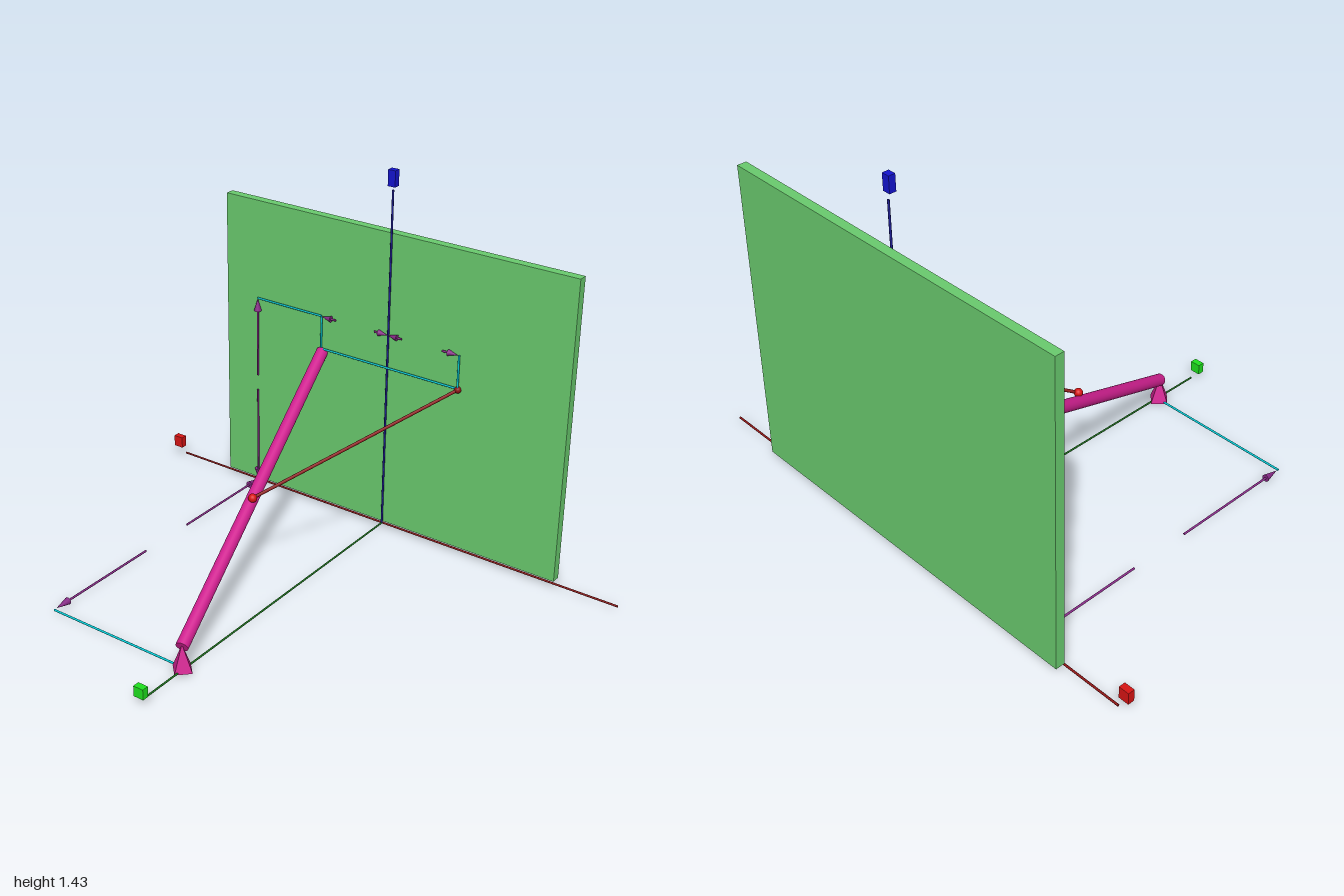
import * as THREE from 'three';

const UP = new THREE.Vector3(0, 1, 0);
const mat = (color) => new THREE.MeshStandardMaterial({ color });
const flat = (color) => { const m = mat(color); m.flatShading = true; return m; };

export function createModel() {
  const model = new THREE.Group();
  const green = mat(0x6acb6e), magenta = mat(0xd02090), cyan = mat(0x00c8d2);
  const purple = mat(0x862a86), darkRed = mat(0x8c1414), red = mat(0xd81414);
  const blue = mat(0x1414d0), lime = mat(0x1ee01e), darkGreen = mat(0x1c6e1c), navy = mat(0x1c1c90);

  const add = (name, geometry, material, x, y, z, parent = model) => {
    const mesh = new THREE.Mesh(geometry, material);
    mesh.name = name;
    mesh.position.set(x, y, z);
    parent.add(mesh);
    return mesh;
  };

  // Round bar (or cone, when r2 is 0) from point a to point b
  const bar = (name, a, b, r, material, parent = model, r2 = r, sides = 10) => {
    const p = new THREE.Vector3(...a), q = new THREE.Vector3(...b);
    const d = q.clone().sub(p), m = p.clone().add(q).multiplyScalar(0.5);
    const mesh = add(name, new THREE.CylinderGeometry(r2, r, d.length(), sides), material, m.x, m.y, m.z, parent);
    mesh.quaternion.setFromUnitVectors(UP, d.normalize());
    return mesh;
  };

  // Key points: foot, wall ends of the rod and cord, and the cord's tie point
  const A = [0.005, 0.09, 0.505], B = [-0.283, 0.645, -0.7];
  const C = [0.31, 0.655, -0.695], G = [-0.11, 0.37, -0.035];

  // Wall panel
  add('wall', new THREE.BoxGeometry(1.475, 1.17, 0.035), green, 0.0075, 0.595, -0.7175);

  // Leaning rod on its four-sided foot
  bar('rod', A, B, 0.023, magenta, model, 0.023, 24);
  add('foot', new THREE.ConeGeometry(0.043, 0.1, 4), flat(0xd02090), 0.005, 0.05, 0.505);

  // Cord from the rod to the wall
  bar('cord', G, C, 0.006, darkRed);
  add('cordTie', new THREE.SphereGeometry(0.016, 16, 12), red, ...G);
  add('cordAnchor', new THREE.SphereGeometry(0.013, 16, 12), darkRed, ...C);

  // Three axes with small end blocks
  const axes = new THREE.Group();
  axes.name = 'axes';
  model.add(axes);
  bar('sideAxis', [-0.96, 0.004, -0.698], [1, 0.004, -0.698], 0.004, darkRed, axes);
  bar('uprightAxis', [0.01, 0.004, -0.695], [0.01, 1.34, -0.695], 0.004, navy, axes);
  bar('forwardAxis', [0.01, 0.004, -0.695], [0.01, 0.004, 0.69], 0.0035, darkGreen, axes);
  add('sideAxisEnd', new THREE.BoxGeometry(0.04, 0.045, 0.025), red, -0.98, 0.06, -0.685, axes);
  add('uprightAxisEnd', new THREE.BoxGeometry(0.03, 0.06, 0.025), blue, 0.018, 1.39, -0.682, axes);
  add('forwardAxisEnd', new THREE.BoxGeometry(0.04, 0.04, 0.025), lime, 0.01, 0.04, 0.722, axes);

  // Guide lines on the wall and floor
  const guides = new THREE.Group();
  guides.name = 'guideLines';
  model.add(guides);
  const zw = -0.692;
  [
    [[-0.283, 0.66, zw], [0.31, 0.66, zw]],
    [[-0.283, 0.66, zw], [-0.283, 0.79, zw]],
    [[0.31, 0.66, zw], [0.31, 0.79, zw]],
    [[-0.58, 0.792, zw], [-0.283, 0.792, zw]],
    [[-0.58, 0.004, 0.5], [0.005, 0.004, 0.5]],
  ].forEach(([a, b]) => bar('guideLine', a, b, 0.004, cyan, guides));

  // Dimension line: arrowheads at both ends, a gap between fractions g0 and g1
  const dimension = (name, a, b, g0, g1, head, r) => {
    const group = new THREE.Group();
    group.name = name;
    model.add(group);
    const p = new THREE.Vector3(...a), q = new THREE.Vector3(...b);
    const at = (t) => p.clone().lerp(q, t).toArray();
    const h = head / p.distanceTo(q);
    bar('dimensionLine', at(h), at(g0), 0.004, purple, group);
    bar('dimensionLine', at(g1), at(1 - h), 0.004, purple, group);
    bar('arrowhead', at(h), at(0), r, purple, group, 0, 12);
    bar('arrowhead', at(1 - h), at(1), r, purple, group, 0, 12);
  };
  dimension('heightDimension', [-0.58, 0.005, zw], [-0.58, 0.79, zw], 0.51, 0.59, 0.05, 0.015);
  dimension('leftSpanDimension', [-0.28, 0.79, zw], [0.01, 0.79, zw], 0.21, 0.8, 0.04, 0.012);
  dimension('rightSpanDimension', [0.01, 0.79, zw], [0.305, 0.79, zw], 0.2, 0.78, 0.04, 0.012);
  dimension('depthDimension', [-0.58, 0.006, -0.69], [-0.58, 0.006, 0.49], 0.385, 0.59, 0.06, 0.014);

  return model;
}
